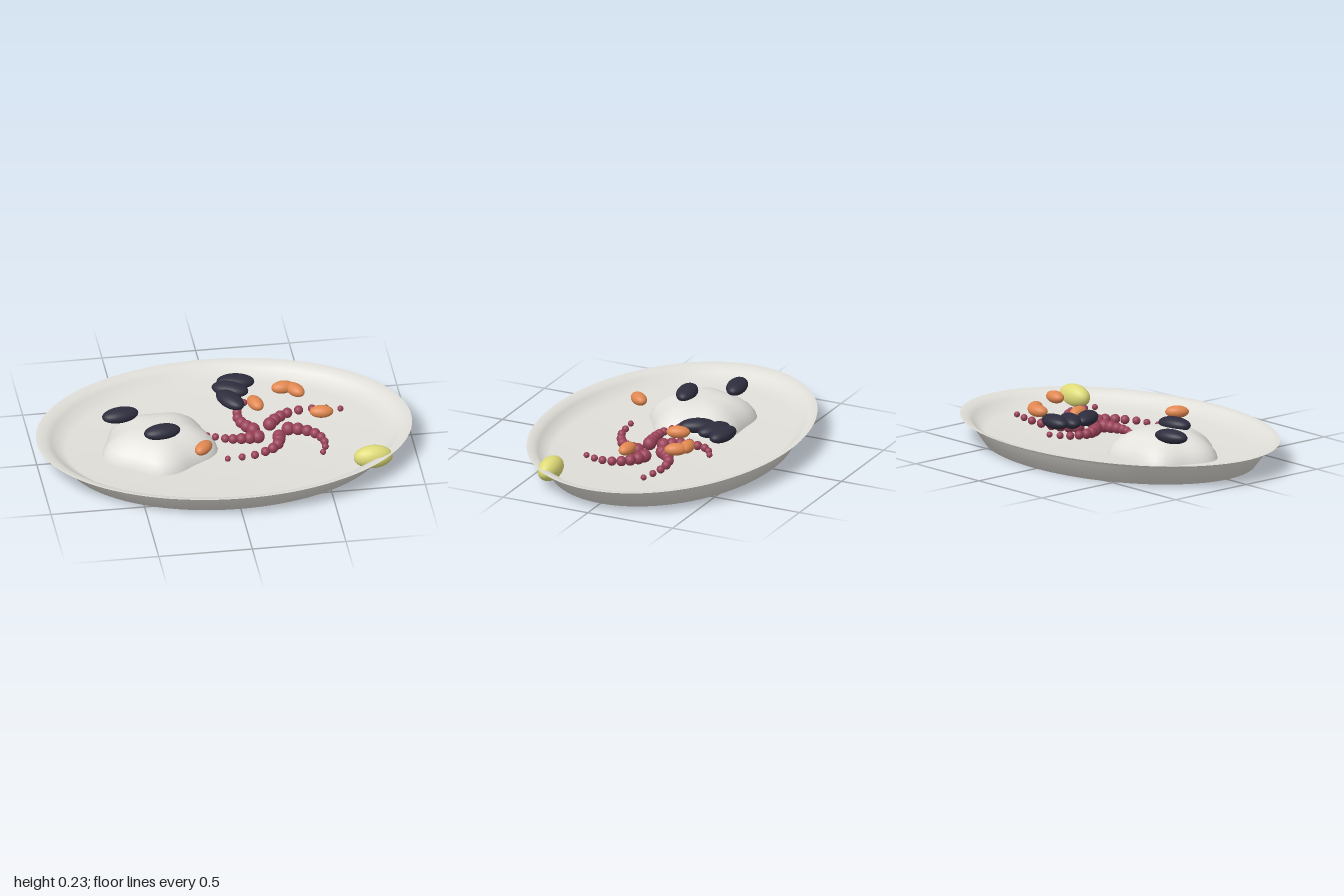
import * as THREE from 'three';
import { mergeVertices } from 'three/addons/utils/BufferGeometryUtils.js';

const mat = (name, color) => {
  const m = new THREE.MeshStandardMaterial({ color });
  m.name = name;
  return m;
};

const profile = (pairs) => pairs.map(([x, y]) => new THREE.Vector2(x, y));

export function createModel() {
  const group = new THREE.Group();
  const porcelain = mat('porcelain', 0xe0ded8);
  const rice = mat('rice white', 0xe2e1dc);
  const shell = mat('shell navy', 0x2d2d3e);
  const prawn = mat('prawn orange', 0xe08750);
  const tentacle = mat('tentacle red', 0x9a4258);
  const citrus = mat('lemon yellow', 0xdeda78);

  const add = (name, geometry, material, parent = group) => {
    const mesh = new THREE.Mesh(geometry, material);
    mesh.name = name;
    parent.add(mesh);
    return mesh;
  };
  const ball = new THREE.SphereGeometry(1, 28, 18);

  // Oval plate: one closed profile, squeezed in depth
  const plateGeo = new THREE.LatheGeometry(profile([
    [0, 0], [0.85, 0], [0.94, 0.105], [0.965, 0.122], [1, 0.13],
    [0.95, 0.122], [0.92, 0.105], [0.84, 0.05], [0, 0.05],
  ]), 96);
  plateGeo.scale(1, 1, 0.7);
  add('plate', plateGeo, porcelain);

  // Rice mound: round profile with five soft lobes
  let moundGeo = new THREE.LatheGeometry(profile([
    [0.295, 0.045], [0.285, 0.075], [0.26, 0.108], [0.225, 0.135],
    [0.185, 0.158], [0.14, 0.175], [0.08, 0.183], [0, 0.185],
  ]), 60);
  const p = moundGeo.attributes.position;
  for (let i = 0; i < p.count; i++) {
    const x = p.getX(i), z = p.getZ(i);
    const k = 1 + 0.06 * Math.sin(5 * Math.atan2(z, x));
    p.setX(i, x * k * 1.02);
    p.setZ(i, z * k * 0.93);
  }
  moundGeo.deleteAttribute('uv');
  moundGeo.deleteAttribute('normal');
  moundGeo = mergeVertices(moundGeo);
  moundGeo.computeVertexNormals();
  add('riceMound', moundGeo, rice).position.set(-0.35, 0, 0);

  // Scattered ellipsoids: [x, z, turn in degrees]
  const scatter = (name, list, y, size, material) => {
    const set = new THREE.Group();
    set.name = name + 's';
    list.forEach(([x, z, turn]) => {
      const mesh = add(name, ball, material, set);
      mesh.position.set(x, y, z);
      mesh.scale.set(...size);
      mesh.rotation.y = THREE.MathUtils.degToRad(turn);
    });
    group.add(set);
  };
  scatter('mussel', [
    [-0.537, -0.117, 11], [-0.343, 0.081, 10],
    [0.115, -0.357, -8], [0.075, -0.285, -25], [0.06, -0.18, -60],
  ], 0.195, [0.1, 0.038, 0.054], shell);
  scatter('prawn', [
    [0.355, -0.265, 5], [0.415, -0.23, -58], [0.187, -0.13, -70],
    [0.52, 0.005, -6], [-0.15, 0.27, 50],
  ], 0.194, [0.063, 0.033, 0.038], prawn);
  scatter('lemon', [[0.745, 0.345, 0]], 0.102, [0.104, 0.063, 0.058], citrus);

  // Curled tentacles: beads that shrink towards the tip
  const arms = [
    [[0.175, 0.045], [0.13, 0.052], [0.085, 0.056], [0.04, 0.055], [0, 0.047], [-0.05, 0.025], [-0.09, 0.005]],
    [[0.285, 0.06], [0.28, 0.095], [0.268, 0.135], [0.235, 0.175], [0.19, 0.205], [0.13, 0.232], [0.06, 0.244], [-0.018, 0.252]],
    [[0.345, -0.01], [0.395, 0.003], [0.44, 0.028], [0.477, 0.062], [0.503, 0.105], [0.514, 0.155], [0.51, 0.205], [0.49, 0.26]],
    [[0.255, -0.07], [0.285, -0.105], [0.32, -0.135], [0.362, -0.16], [0.425, -0.177], [0.497, -0.18], [0.57, -0.17], [0.645, -0.153]],
    [[0.16, -0.03], [0.13, -0.065], [0.107, -0.105], [0.096, -0.15], [0.1, -0.2], [0.115, -0.25], [0.15, -0.29], [0.2, -0.32]],
  ];
  const bead = new THREE.SphereGeometry(1, 18, 12);
  arms.forEach((beads) => {
    const arm = new THREE.Group();
    arm.name = 'tentacle';
    beads.forEach(([x, z], i) => {
      const r = 0.036 - 0.02 * i / (beads.length - 1);
      const mesh = add('tentacleBead', bead, tentacle, arm);
      mesh.position.set(x, 0.094 + 0.008 * i / (beads.length - 1), z);
      mesh.scale.setScalar(r);
    });
    group.add(arm);
  });

  return group;
}
